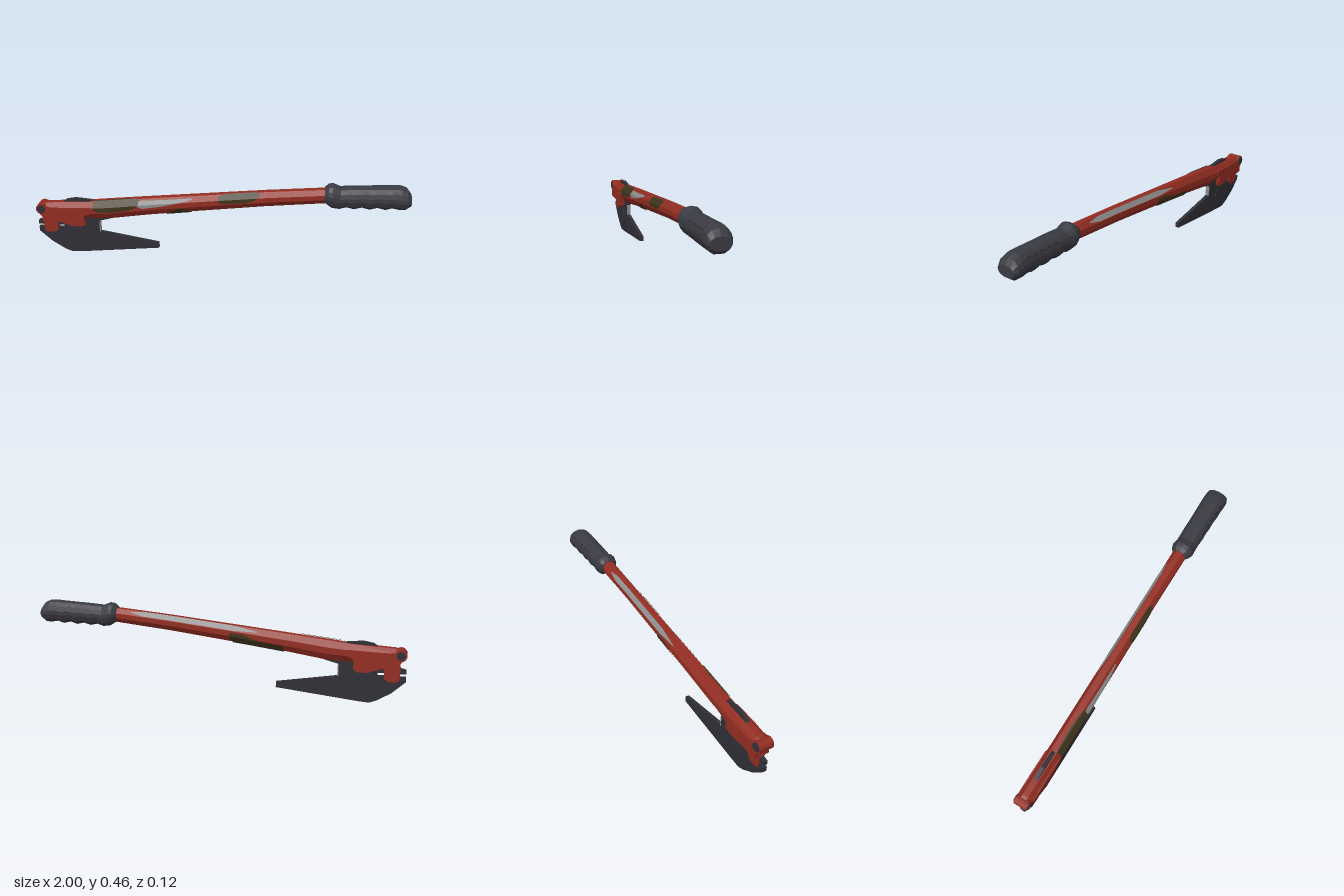
import * as THREE from 'three';

const mat = (name, color) => Object.assign(new THREE.MeshStandardMaterial({ color }), { name });

// Stations along x: [x, bottom, top, half width]
const SHAFT = [
  [-0.98, 0.25, 0.285, 0.03], [-0.94, 0.235, 0.3, 0.036], [-0.72, 0.218, 0.312, 0.038],
  [-0.6, 0.22, 0.325, 0.039], [-0.4, 0.25, 0.346, 0.038], [-0.2, 0.276, 0.366, 0.037],
  [0, 0.3, 0.386, 0.036], [0.25, 0.33, 0.411, 0.035], [0.58, 0.363, 0.439, 0.037]];
const GRIP = [
  [0.555, 0.365, 0.442, 0.042], [0.575, 0.35, 0.46, 0.055], [0.595, 0.337, 0.466, 0.06],
  [0.635, 0.332, 0.45, 0.056], [0.67, 0.343, 0.453, 0.056], [0.71, 0.334, 0.456, 0.058],
  [0.75, 0.345, 0.458, 0.057], [0.79, 0.335, 0.46, 0.058], [0.83, 0.347, 0.462, 0.058],
  [0.87, 0.337, 0.464, 0.06], [0.905, 0.348, 0.466, 0.06], [0.945, 0.34, 0.466, 0.061],
  [0.975, 0.343, 0.455, 0.06], [0.997, 0.362, 0.425, 0.05]];

// Unit cross-sections as [z, y], running from the top over the front, bottom and back
const OCTAGON = [[0.45, 1], [1, 0.35], [1, -0.3], [0.42, -1], [-0.42, -1], [-1, -0.3], [-1, 0.35], [-0.45, 1]];
const ROUND = [[0, 1], [0.55, 0.88], [0.88, 0.55], [1, 0.15], [1, -0.2], [0.8, -0.65], [0.4, -0.95],
  [-0.4, -0.95], [-0.8, -0.65], [-1, -0.2], [-1, 0.15], [-0.88, 0.55], [-0.55, 0.88]];

// Point on a lofted surface: x along it, u counts cross-section corners
function surfacePoint(stations, ring, x, u, offset = 0) {
  let i = 0;
  while (i < stations.length - 2 && x > stations[i + 1][0]) i++;
  const a = stations[i], b = stations[i + 1], t = (x - a[0]) / (b[0] - a[0]);
  const [lo, hi, w] = [1, 2, 3].map(k => THREE.MathUtils.lerp(a[k], b[k], t));
  const n = ring.length, k = Math.floor(u), f = u - k;
  const p = ring[((k % n) + n) % n], q = ring[(((k + 1) % n) + n) % n];
  const z = p[0] + (q[0] - p[0]) * f, y = p[1] + (q[1] - p[1]) * f;
  return [x, (lo + hi) / 2 + y * ((hi - lo) / 2 + offset), z * (w + offset)];
}

function facets(points) {
  const g = new THREE.BufferGeometry();
  g.setAttribute('position', new THREE.Float32BufferAttribute(points.flat(), 3));
  g.computeVertexNormals();
  return g;
}

const quad = (out, a, b, c, d) => out.push(a, b, c, a, c, d);

// Closed faceted body through all stations
function loft(stations, ring) {
  const out = [], n = ring.length, P = (i, u) => surfacePoint(stations, ring, stations[i][0], u);
  const last = stations.length - 1;
  const mid = i => [stations[i][0], (stations[i][1] + stations[i][2]) / 2, 0];
  for (let u = 0; u < n; u++) {
    for (let i = 0; i < last; i++) quad(out, P(i, u), P(i, u + 1), P(i + 1, u + 1), P(i + 1, u));
    out.push(mid(0), P(0, u + 1), P(0, u), mid(last), P(last, u), P(last, u + 1));
  }
  return facets(out);
}

// Thin painted patch hugging a lofted surface; rows are [x, uStart, uEnd]
function patch(stations, ring, rows, offset = 0.003) {
  const out = [], steps = 4;
  const mix = (a, b, t) => a.map((v, k) => v + (b[k] - v) * t);
  for (let r = 0; r < rows.length - 1; r++) for (let s = 0; s < steps; s++) {
    const a = mix(rows[r], rows[r + 1], s / steps), b = mix(rows[r], rows[r + 1], (s + 1) / steps);
    const from = Math.floor(Math.min(a[1], b[1])), to = Math.ceil(Math.max(a[2], b[2]));
    for (let k = from; k < to; k++) {
      const clip = (row, j) => Math.min(Math.max(row[j], k), k + 0.9999);
      const P = (row, j) => surfacePoint(stations, ring, row[0], clip(row, j), offset);
      quad(out, P(a, 1), P(a, 2), P(b, 2), P(b, 1));
    }
  }
  return facets(out);
}

// Flat outline in the xy plane, centred on z = 0
function plate(points, half) {
  const shape = new THREE.Shape(points.map(p => new THREE.Vector2(...p)));
  return new THREE.ExtrudeGeometry(shape, { depth: half * 2, bevelEnabled: false }).translate(0, 0, -half);
}

const disc = (x, y, r, half, sides) =>
  new THREE.CylinderGeometry(r, r, half * 2, sides).rotateX(Math.PI / 2).translate(x, y, 0);

export function createModel() {
  const group = new THREE.Group();
  const red = mat('red paint', 0x932d22), metal = mat('dark metal', 0x302f36);
  const rubber = mat('grip rubber', 0x3a3a42), olive = mat('olive stain', 0x40341b);
  const steel = mat('bare steel', 0x8c8c8c), black = mat('black recess', 0x1e1e23);
  red.flatShading = metal.flatShading = rubber.flatShading = false;
  const add = (name, geometry, material) => {
    const mesh = new THREE.Mesh(geometry, material);
    mesh.name = name;
    group.add(mesh);
  };

  // Shaft and its worn and stained patches
  add('shaft', loft(SHAFT, OCTAGON), red);
  const paint = (name, rows, material, offset) => add(name, patch(SHAFT, OCTAGON, rows, offset), material);
  paint('headStain', [[-0.68, 0, 1.3], [-0.65, -0.2, 1.75], [-0.52, -0.25, 1.8], [-0.46, -0.15, 1.5], [-0.43, 0, 0.9]], olive, 0.004);
  paint('middleStain', [[0, 0.4, 1.3], [0.03, 0, 1.7], [0.15, 0, 1.75], [0.19, 0, 1.4], [0.22, 0.2, 0.6]], olive, 0.004);
  paint('undersideStain', [[-0.37, 4, 4.9], [-0.26, 2.7, 5], [-0.21, 1.9, 5.2], [-0.16, 2.6, 5.7], [-0.08, 4.4, 5.6]], olive, 0.004);
  paint('frontWear', [[-0.445, 0.5, 1], [-0.41, 0.3, 1.6], [-0.3, 0.4, 1.4], [-0.22, 0.4, 1.05], [-0.14, 0.4, 0.6]], steel);
  paint('backWear', [[-0.23, 6.4, 6.5], [-0.1, 6.1, 6.9], [0.4, 6.1, 6.95], [0.47, 6.5, 6.6]], steel);

  // Grip with finger ridges and short slots on both sides
  add('grip', loft(GRIP, ROUND), rubber);
  for (let i = 0; i < 5; i++) {
    const x = 0.715 + i * 0.045;
    add('gripSlotFront', patch(GRIP, ROUND, [[x, 1.85, 2.0], [x + 0.028, 1.85, 2.0]], 0.001), black);
    add('gripSlotBack', patch(GRIP, ROUND, [[x, 11, 11.15], [x + 0.028, 11, 11.15]], 0.001), black);
  }

  // Blade with a slot at its left end and a long pointed spur
  add('blade', plate([
    [-0.87, 0.29], [-0.83, 0.318], [-0.78, 0.327], [-0.7, 0.32], [-0.62, 0.3], [-0.45, 0.255],
    [-0.655, 0.2], [-0.655, 0.135], [-0.33, 0.079], [-0.33, 0.05], [-0.76, 0.006], [-0.82, 0.002],
    [-0.86, 0.018], [-0.93, 0.062], [-0.998, 0.125], [-0.998, 0.15], [-0.855, 0.15],
    [-0.855, 0.166], [-0.998, 0.166], [-0.998, 0.188], [-0.9, 0.21]], 0.0105), metal);
  add('bladeBoss', disc(-0.79, 0.09, 0.06, 0.0135, 16), metal);
  add('spurRib', plate([[-0.73, 0.115], [-0.62, 0.105], [-0.4, 0.07], [-0.4, 0.06], [-0.72, 0.03]], 0.0125), metal);
  add('cuttingEdge', new THREE.BoxGeometry(0.006, 0.06, 0.0215).translate(-0.654, 0.165, 0), steel);

  // Head housing around the blade
  add('headHousing', plate([
    [-0.985, 0.25], [-0.965, 0.225], [-0.965, 0.195], [-0.735, 0.195], [-0.73, 0.238],
    [-0.7, 0.25], [-0.64, 0.26], [-0.66, 0.285], [-0.72, 0.275], [-0.86, 0.27], [-0.95, 0.285]], 0.04), red);
  add('sideRail', plate([[-0.94, 0.245], [-0.74, 0.245], [-0.69, 0.26], [-0.7, 0.285], [-0.85, 0.28], [-0.94, 0.27]], 0.0435), red);
  add('rearClamp', plate([[-0.87, 0.2], [-0.86, 0.182], [-0.83, 0.178], [-0.81, 0.165], [-0.75, 0.165], [-0.73, 0.18], [-0.73, 0.2]], 0.023), red);
  add('frontClamp', plate([[-0.97, 0.2], [-0.965, 0.13], [-0.945, 0.12], [-0.905, 0.122], [-0.888, 0.14], [-0.888, 0.2]], 0.0145), red);

  // Pivot bolt through the end of the head
  add('headEnd', disc(-0.967, 0.267, 0.031, 0.037, 10), red);
  add('pivotBolt', disc(-0.967, 0.267, 0.023, 0.043, 8), metal);
  return group;
}
